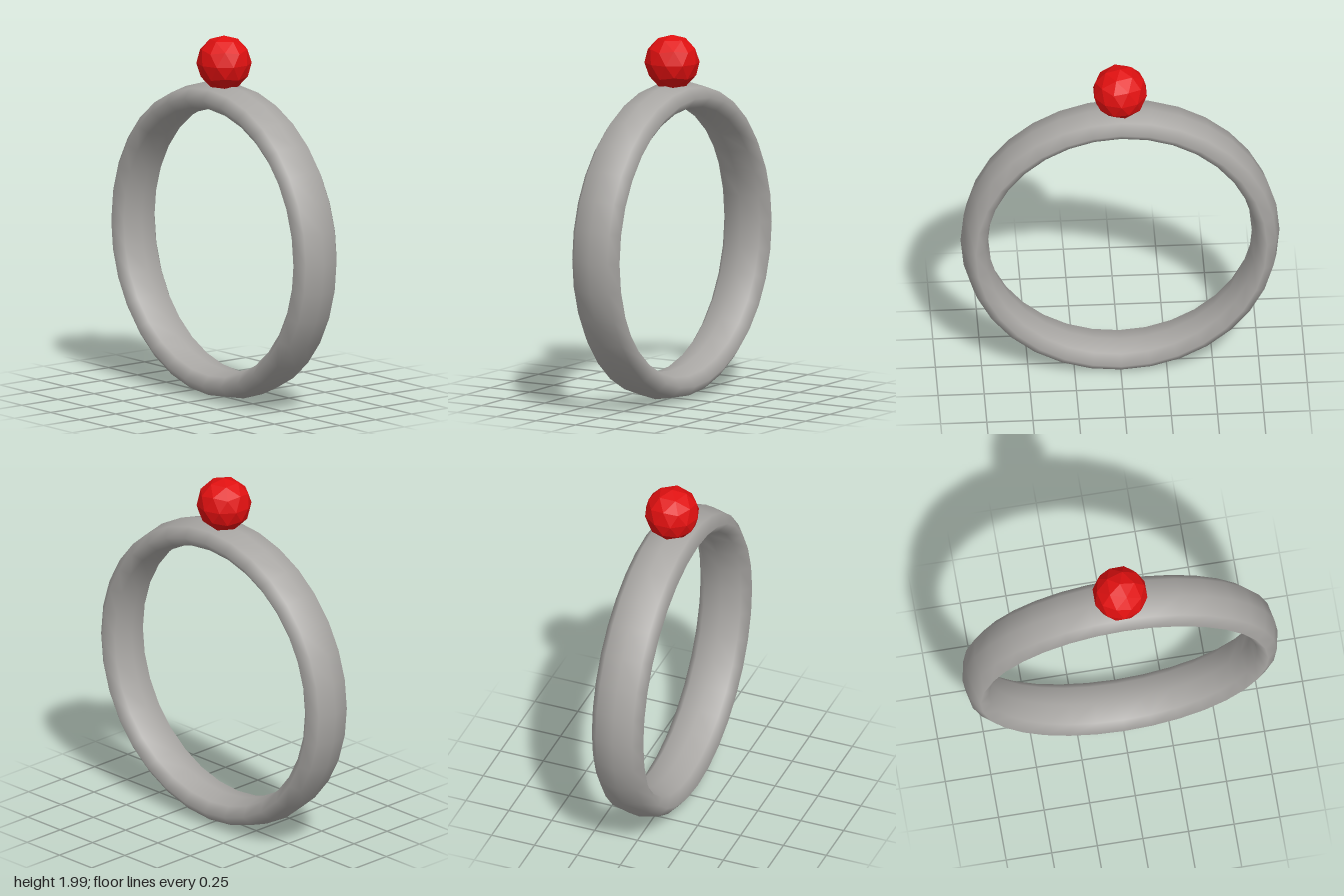
import * as THREE from 'three';

const silver = new THREE.MeshStandardMaterial({ color: 0xa9a7a4 });
silver.name = 'silver grey';
const red = new THREE.MeshStandardMaterial({ color: 0xe01010 });
red.name = 'gem red';

export function createModel() {
  const group = new THREE.Group();
  group.name = 'ring';

  // Band: smooth torus, octagonal section stretched to twice its width
  const bandGeometry = new THREE.TorusGeometry(0.789, 0.075, 8, 32);
  bandGeometry.scale(1, 1, 2);
  const band = new THREE.Mesh(bandGeometry, silver);
  band.name = 'band';
  band.position.y = 0.871;
  group.add(band);

  // Gem: faceted icosphere, turned to stand on one of its five-fold corners
  const gemGeometry = new THREE.IcosahedronGeometry(0.15, 1);
  gemGeometry.rotateZ(-Math.atan(2 / (1 + Math.sqrt(5))));
  gemGeometry.computeVertexNormals(); // unshared corners give flat facets
  const gem = new THREE.Mesh(gemGeometry, red);
  gem.name = 'gem';
  gem.position.y = 1.85;
  group.add(gem);

  return group;
}
